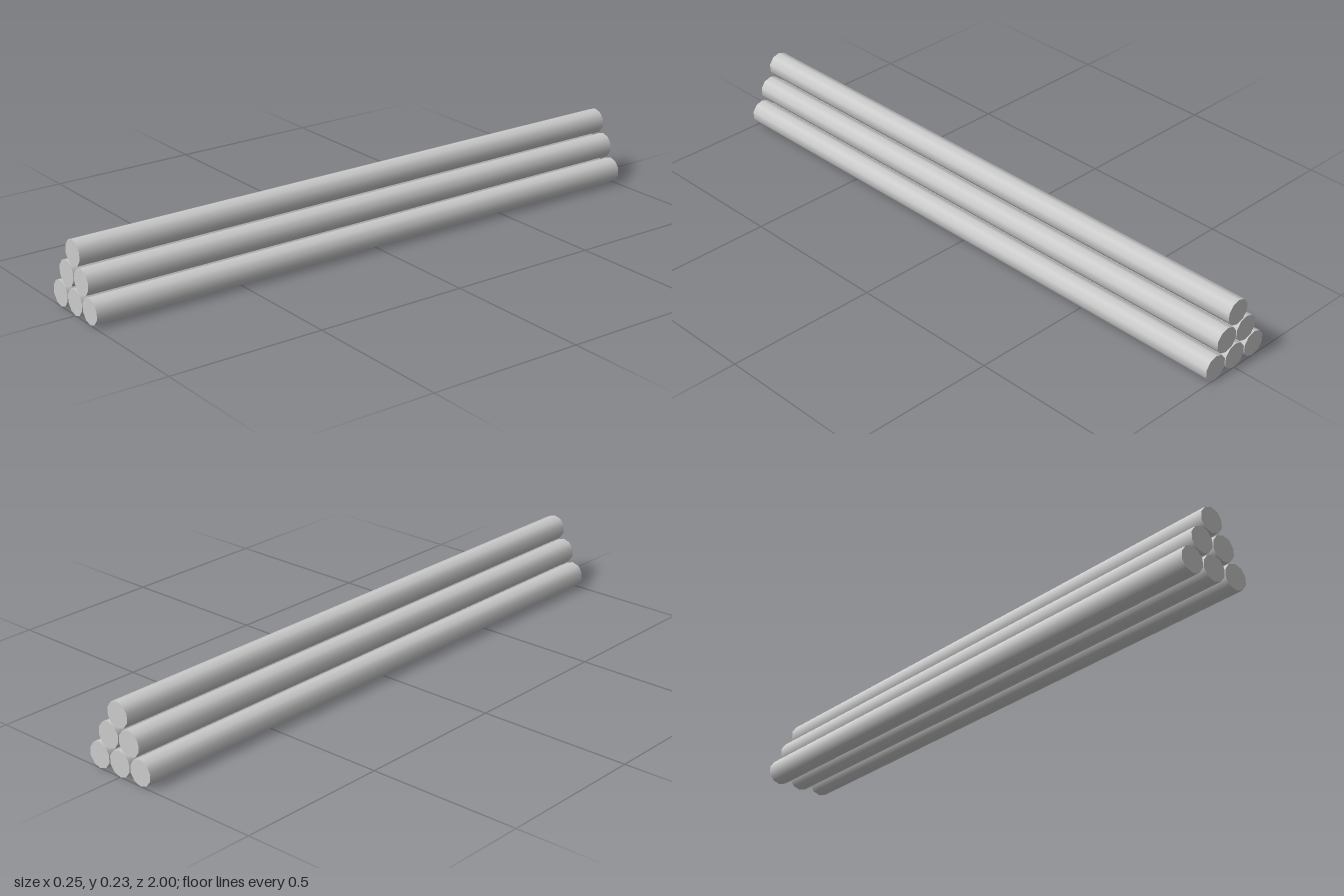
import * as THREE from 'three';

const RADIUS = 0.0414;
const LENGTH = 2;
const SPACING = 0.0832; // between neighbours in a row
const ROW_STEP = 0.0753; // between row heights
const ROWS = 3;

export function createModel() {
  const group = new THREE.Group();
  group.name = 'pipeStack';
  const material = new THREE.MeshStandardMaterial({ color: 0xcccccc });

  // Ten-sided smooth rod lying along z, with a corner at top and bottom
  const rodGeometry = new THREE.CylinderGeometry(RADIUS, RADIUS, LENGTH, 10);
  rodGeometry.rotateX(Math.PI / 2);

  // Pyramid stack: three rods, then two, then one
  for (let row = 0; row < ROWS; row++) {
    const count = ROWS - row;
    for (let i = 0; i < count; i++) {
      const rod = new THREE.Mesh(rodGeometry, material);
      rod.name = `rodRow${row + 1}Number${i + 1}`;
      rod.position.set((i - (count - 1) / 2) * SPACING, RADIUS + row * ROW_STEP, 0);
      group.add(rod);
    }
  }
  return group;
}
